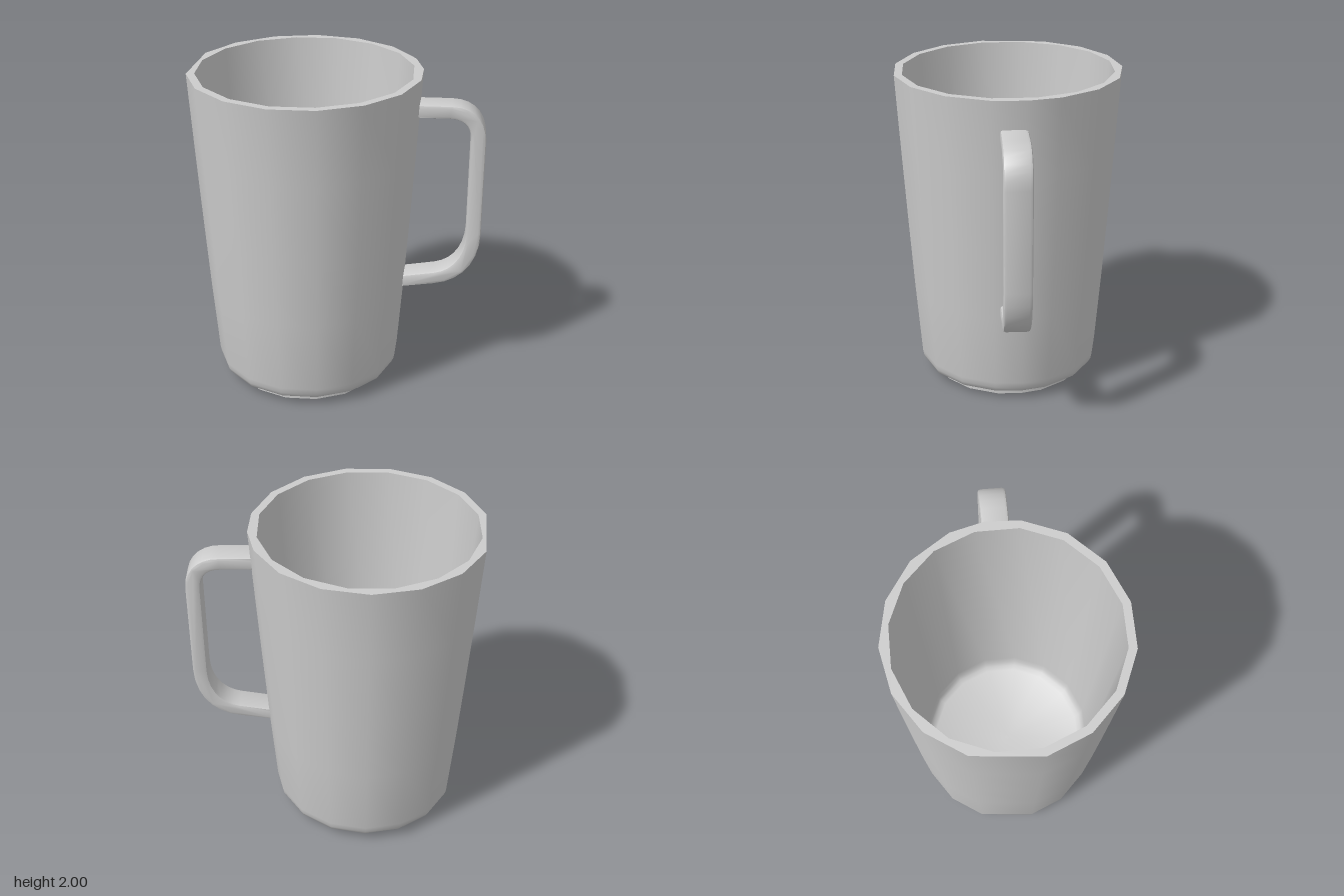
import * as THREE from 'three';
import { toCreasedNormals } from 'three/addons/utils/BufferGeometryUtils.js';

const SIDES = 16;
const STEP = 360 / SIDES;
const CREASE = 0.72;

// Angle (degrees from the front) of each corner of the outer wall;
// the back half is turned by half a step relative to the front half.
function outerAngle(i) {
  if (i === 4) return 95.6;
  if (i > 4 && i < 12) return i * STEP;
  return (i + 0.5) * STEP;
}

function buildCup() {
  // [radius, height]: underside, foot, outer wall, rim
  const outer = [
    [0, 0.02], [0.45, 0.02], [0.46, 0], [0.487, 0], [0.487, 0.035], [0.505, 0.04],
    [0.535, 0.048], [0.56, 0.066], [0.574, 0.095], [0.58, 0.13],
    [0.615, 0.6], [0.644, 1.05], [0.673, 1.53], [0.7, 2],
  ];
  // Rim, inner wall, floor
  const inner = [
    [0.651, 2], [0.542, 0.22], [0.535, 0.165], [0.518, 0.135], [0.49, 0.12], [0, 0.12],
  ];
  const profile = [...outer, ...inner].map(([r, y]) => new THREE.Vector2(r, y));
  const geometry = new THREE.LatheGeometry(profile, SIDES);
  const p = geometry.attributes.position;
  for (let v = 0; v < p.count; v++) {
    const i = Math.floor(v / profile.length) % SIDES;
    const j = v % profile.length;
    const degrees = j < outer.length ? outerAngle(i) : (i + 0.5) * STEP;
    const a = THREE.MathUtils.degToRad(degrees);
    p.setXYZ(v, profile[j].x * Math.sin(a), profile[j].y, profile[j].x * Math.cos(a));
  }
  return toCreasedNormals(geometry, CREASE);
}

function buildHandle() {
  // Side outline of the bent bar, extruded across with softened edges
  const s = new THREE.Shape();
  s.moveTo(0.45, 1.743);
  s.lineTo(0.66, 1.743);
  s.bezierCurveTo(0.74, 1.743, 0.79, 1.7, 0.79, 1.61);
  s.lineTo(0.79, 1.0);
  s.bezierCurveTo(0.79, 0.84, 0.71, 0.74, 0.6, 0.722);
  s.lineTo(0.385, 0.686);
  s.lineTo(0.385, 0.606);
  s.lineTo(0.6, 0.637);
  s.bezierCurveTo(0.77, 0.66, 0.88, 0.79, 0.88, 1.0);
  s.lineTo(0.88, 1.61);
  s.bezierCurveTo(0.88, 1.74, 0.8, 1.826, 0.67, 1.826);
  s.lineTo(0.45, 1.826);
  s.closePath();
  const width = 0.164, bevel = 0.018;
  const geometry = new THREE.ExtrudeGeometry(s, {
    depth: width - 2 * bevel, curveSegments: 7, steps: 1,
    bevelEnabled: true, bevelSize: bevel, bevelThickness: bevel,
    bevelOffset: -bevel, bevelSegments: 2,
  });
  geometry.translate(0, 0, bevel - width / 2);
  return toCreasedNormals(geometry, CREASE);
}

export function createModel() {
  const material = new THREE.MeshStandardMaterial({ color: 0xcccccc });
  const model = new THREE.Group();
  model.name = 'mug';

  const cup = new THREE.Mesh(buildCup(), material);
  cup.name = 'cup';
  cup.position.set(-0.2, 0, 0.007);

  const handle = new THREE.Mesh(buildHandle(), material);
  handle.name = 'handle';
  handle.position.z = 0.007;

  model.add(cup, handle);
  return model;
}
